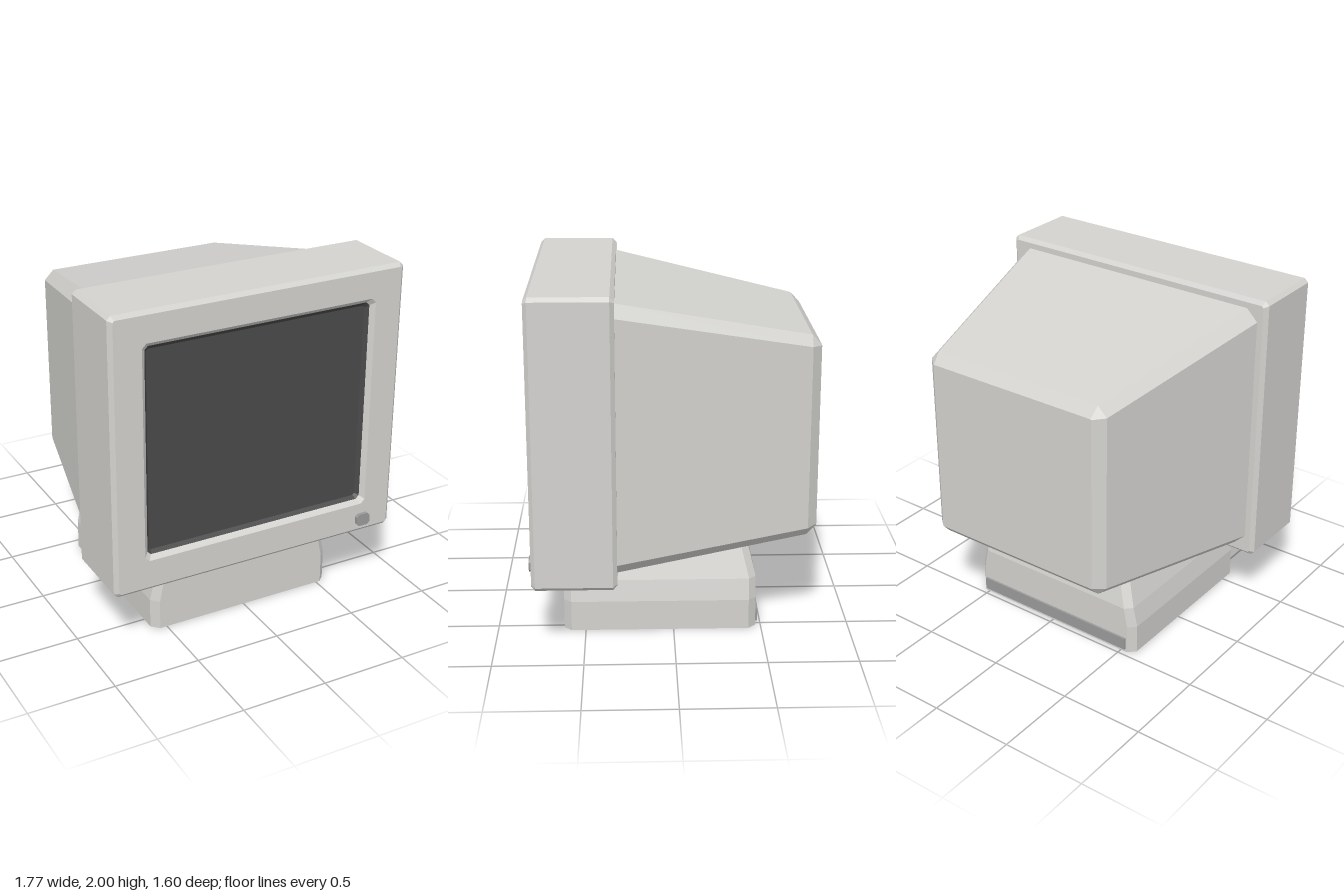
import * as THREE from 'three';

// Rectangle with cut corners at depth z, counter-clockwise seen from +z
function ring(hx, y0, y1, cut, z) {
  return [
    [-hx + cut, y0, z], [hx - cut, y0, z], [hx, y0 + cut, z], [hx, y1 - cut, z],
    [hx - cut, y1, z], [-hx + cut, y1, z], [-hx, y1 - cut, z], [-hx, y0 + cut, z],
  ];
}

// Flat-faced skin through a list of rings, with optional end caps
function loft(rings, startCap = true, endCap = true) {
  const pos = [];
  const tri = (a, b, c) => pos.push(...a, ...b, ...c);
  for (let r = 0; r < rings.length - 1; r++) {
    const p = rings[r], q = rings[r + 1];
    for (let i = 0; i < 8; i++) {
      const j = (i + 1) % 8;
      tri(p[i], p[j], q[j]);
      tri(p[i], q[j], q[i]);
    }
  }
  const first = rings[0], last = rings[rings.length - 1];
  for (let i = 1; i < 7; i++) {
    if (startCap) tri(first[0], first[i + 1], first[i]);
    if (endCap) tri(last[0], last[i], last[i + 1]);
  }
  const geo = new THREE.BufferGeometry();
  geo.setAttribute('position', new THREE.Float32BufferAttribute(pos, 3));
  geo.computeVertexNormals();
  return geo;
}

export function createModel() {
  const group = new THREE.Group();
  group.name = 'monitor';
  const material = (name, color) => {
    const m = new THREE.MeshStandardMaterial({ color });
    m.name = name;
    return m;
  };
  const casing = material('pale grey casing', 0xd3d2cf);
  const glass = material('dark glass', 0x4a4a4a);
  const trim = material('mid grey trim', 0x9a9a9a);
  const add = (name, geo, mat) => {
    const mesh = new THREE.Mesh(geo, mat);
    mesh.name = name;
    group.add(mesh);
    return mesh;
  };

  // Front bezel, continuing over the rim into the sloped opening
  add('bezel', loft([
    ring(0.863, 0.402, 1.978, 0.01, 0.315),
    ring(0.886, 0.38, 2.0, 0.022, 0.338),
    ring(0.886, 0.38, 2.0, 0.022, 0.76),
    ring(0.863, 0.402, 1.978, 0.01, 0.782),
    ring(0.705, 0.565, 1.825, 0.025, 0.782),
    ring(0.68, 0.59, 1.8, 0.02, 0.757),
  ], true, false), casing);

  // Screen with a sloped edge, set back in the opening
  add('screen', loft([
    ring(0.68, 0.59, 1.8, 0.02, 0.757),
    ring(0.662, 0.607, 1.775, 0.012, 0.735),
  ], false, true), glass);

  // Tapered tube housing behind the bezel
  add('rearHousing', loft([
    ring(0.54, 0.622, 1.66, 0.004, -0.802),
    ring(0.6, 0.565, 1.718, 0.056, -0.748),
    ring(0.83, 0.437, 1.945, 0.068, 0.32),
  ]), casing);

  // Stand: vertical foot narrowing towards the housing
  const stand = loft([
    ring(0.576, -0.623, 0.47, 0.042, 0),
    ring(0.576, -0.623, 0.47, 0.042, 0.175),
    ring(0.55, -0.623, 0.47, 0.04, 0.295),
    ring(0.455, -0.56, 0.405, 0.04, 0.56),
  ]);
  stand.rotateX(-Math.PI / 2);
  add('stand', stand, casing).position.x = -0.008;

  // Strip along the back of the stand
  add('standBackStrip', new THREE.BoxGeometry(1.05, 0.075, 0.02), trim)
    .position.set(-0.008, 0.058, -0.472);

  // Power button
  add('powerButton', loft([
    ring(0.044, -0.037, 0.037, 0.016, 0.77),
    ring(0.044, -0.037, 0.037, 0.016, 0.802),
  ]), trim).position.set(0.69, 0.467, 0);

  return group;
}
